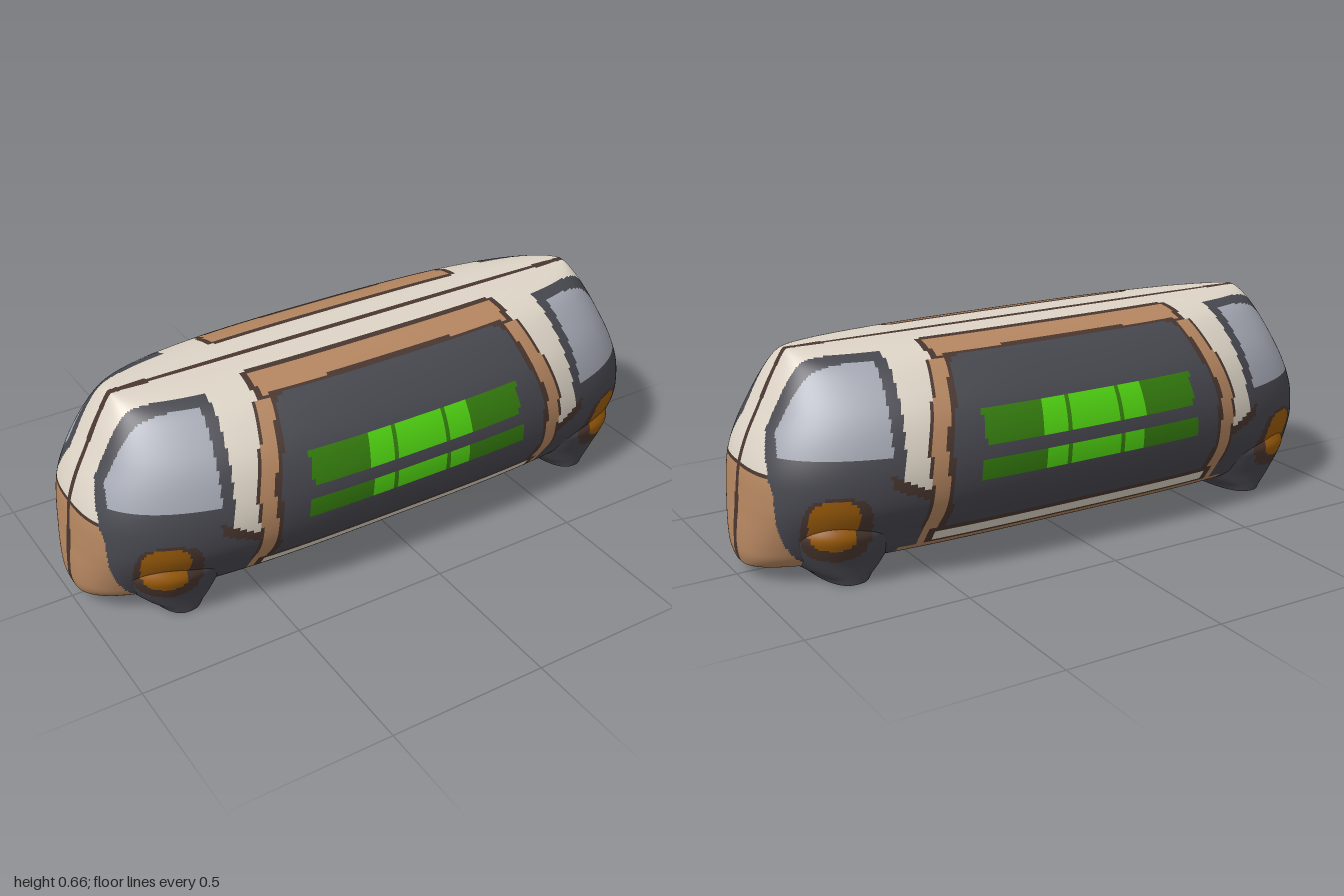
import * as THREE from 'three';

// The shell is open under the feet, so both sides show
const mat = (name, color) => {
  const m = new THREE.MeshStandardMaterial({ color, side: THREE.DoubleSide });
  m.name = name;
  return m;
};
const cream = mat('cream', 0xddd4c6), charcoal = mat('charcoal', 0x47474f), glass = mat('glass grey', 0xa2a6b1);
const tan = mat('tan', 0xb58660), brown = mat('dark brown', 0x49362f), amber = mat('amber', 0x9c5c0a);
const lime = mat('lime', 0x52d812), green = mat('green', 0x36800f);

// Part name -> material
const PARTS = {
  roofAndPillars: cream, lowerTrimStrip: cream, lowerShell: charcoal, sidePanel: charcoal,
  cornerWindows: glass, bumpers: tan, panelSurround: tan, underside: tan, roofPanels: tan,
  seams: brown, lampSurrounds: brown, lamps: amber, litCells: lime, displayPanels: green,
};
const FOOT_X = 0.73;

const inEllipse = (x, y, cx, cy, rx, ry, p) =>
  Math.abs((x - cx) / rx) ** p + Math.abs((y - cy) / ry) ** p < 1;

// Rows of display cells on the middle of each side
function displayPart(ax, y) {
  const upper = y > 0.395 && y < 0.5 && ax < 0.37;
  const lower = y > 0.29 && y < 0.357 && ax < 0.385;
  if (!upper && !lower) return null;
  if (ax > 0.182) return 'displayPanels';
  const cell = ax % 0.091;
  return cell < 0.006 || cell > 0.087 ? 'displayPanels' : 'litCells';
}

// Middle bay: side panel, its tan surround and the roof panels
function middlePart(ax, y, az, inner, outer) {
  if (y < 0.085) return az < 0.01 ? 'seams' : 'underside';
  if (y < 0.145) {
    if (ax > 0.52) return 'panelSurround';
    return ax < 0.5 && y > 0.096 && y < 0.13 ? 'lowerTrimStrip' : 'seams';
  }
  if (y > 0.6 && az < 0.215) {
    if (az < 0.095) return az < 0.013 ? 'seams' : 'roofAndPillars';
    if (ax > 0.455) return 'roofAndPillars';
    return az > 0.115 && az < 0.203 && ax < 0.435 ? 'roofPanels' : 'seams';
  }
  if (ax > outer - 0.009) return 'seams';
  if (ax > inner) return 'panelSurround';
  if (ax > inner - 0.018) return 'seams';
  return displayPart(ax, y) || 'sidePanel';
}

// End bays: windows, lamps, bumpers and pillars
function endPart(ax, y, az) {
  if (ax > 0.86 && y < 0.35 && az < 0.19) {
    if (y > 0.335) return az < 0.155 ? 'seams' : 'lowerShell';
    if (inEllipse(az, y, 0, 0.18, 0.185, 0.17, 5)) return az < 0.013 ? 'seams' : 'bumpers';
    return y < 0.06 && az < 0.14 ? 'bumpers' : 'lowerShell';
  }
  if (inEllipse(ax, y, 0.805, 0.205, 0.066, 0.077, 3)) return 'lamps';
  if (inEllipse(ax, y, 0.795, 0.19, 0.093, 0.1, 3)) return 'lampSurrounds';
  const frameX = 0.585 + 0.12 * (0.62 - y);
  const frameZ = 0.09 + 0.2 * Math.max(0, 0.8 - ax) + 0.6 * Math.max(0, 0.46 - y);
  if (y > 0.34 && (ax < frameX || az < frameZ)) return az < 0.011 ? 'seams' : 'roofAndPillars';
  if (y > 0.4 && ax > frameX + 0.035 && az > frameZ + 0.042) return 'cornerWindows';
  // Brown dart closing the foot of each cream pillar
  const dart = 0.265 + 0.5 * (ax - 0.53);
  if (ax < 0.655 && Math.abs(y - dart) < 0.018) return 'seams';
  return ax < frameX && y > dart ? 'roofAndPillars' : 'lowerShell';
}

function bodyPart(x, y, z) {
  const ax = Math.abs(x), az = Math.abs(z);
  // Openings above the hollow feet
  if (y < 0.06 && inEllipse(ax, az, FOOT_X, 0, 0.125, 0.25, 2.5)) return null;
  const inner = y > 0.42 ? 0.49 - 0.35 * (y - 0.42) : 0.49;
  const outer = y < 0.085 ? 0.6 : inner + 0.056;
  return ax < outer ? middlePart(ax, y, az, inner, outer) : endPart(ax, y, az);
}

// Feet carry the lower part of the lamp paint
function footPart(x, y, z) {
  const part = endPart(Math.abs(x), y, Math.abs(z));
  return part.startsWith('lamp') ? part : 'lowerShell';
}

// Loft of rings, divided into one mesh per painted part
function paintedLoft(name, rows, segments, ringPoint, partAt) {
  const pos = [], buckets = {}, all = [];
  for (const row of rows)
    for (let j = 0; j < segments; j++) pos.push(...ringPoint(row, (j / segments) * Math.PI * 2));
  for (let i = 0; i < rows.length - 1; i++)
    for (let j = 0; j < segments; j++) {
      const a = i * segments + j, b = i * segments + (j + 1) % segments;
      const c = a + segments, d = b + segments;
      const centre = [0, 1, 2].map(k => (pos[a * 3 + k] + pos[b * 3 + k] + pos[c * 3 + k] + pos[d * 3 + k]) / 4);
      const part = partAt(...centre);
      all.push(a, c, b, b, c, d);
      if (part) (buckets[part] ??= []).push(a, c, b, b, c, d);
    }
  const whole = new THREE.BufferGeometry();
  whole.setAttribute('position', new THREE.Float32BufferAttribute(pos, 3));
  whole.setIndex(all);
  whole.computeVertexNormals();
  const group = new THREE.Group();
  group.name = name;
  for (const [part, ids] of Object.entries(buckets)) {
    const geo = new THREE.BufferGeometry();
    geo.setAttribute('position', whole.attributes.position);
    geo.setAttribute('normal', whole.attributes.normal);
    geo.setIndex(ids);
    const mesh = new THREE.Mesh(geo, PARTS[part]);
    mesh.name = part;
    group.add(mesh);
  }
  return group;
}

const smoothRows = (rows, n) =>
  new THREE.CatmullRomCurve3(rows.map(r => new THREE.Vector3(...r))).getSpacedPoints(n);

// Point on the rounded plan of the body; rings are denser near the blunt ends
function bodyPoint(r, a) {
  const fold = a % Math.PI;
  const t = Math.min(fold, Math.PI - fold) / (Math.PI / 2);
  const along = Math.cos((Math.PI / 2) * t ** 1.35);
  const power = 2.8 + 0.6 * THREE.MathUtils.smoothstep(0.45 - r.y, 0, 0.25);
  const depth = Math.max(0, 1 - along ** power) ** (1 / 2.8);
  return [Math.sign(Math.cos(a)) * r.x * along, r.y, Math.sign(Math.sin(a)) * r.z * depth];
}

export function createModel() {
  const model = new THREE.Group();
  model.name = 'roundedVan';

  // Body rows: half length, height, half width
  const bodyRows = smoothRows([
    [0.98, 0.04, 0], [0.985, 0.04, 0.12], [0.99, 0.046, 0.2], [0.998, 0.08, 0.262], [0.998, 0.12, 0.295],
    [0.995, 0.16, 0.325], [0.99, 0.2, 0.355], [0.985, 0.25, 0.38], [0.973, 0.34, 0.395],
    [0.945, 0.42, 0.387], [0.905, 0.5, 0.355], [0.87, 0.57, 0.297], [0.842, 0.62, 0.235],
    [0.827, 0.645, 0.17], [0.818, 0.657, 0.1], [0.812, 0.66, 0],
  ], 110);
  model.add(paintedLoft('body', bodyRows, 560, bodyPoint, bodyPart));

  // Feet: one hollow flared skid under each end
  const footRows = smoothRows([
    [0.085, 0, 0.254], [0.1, 0.015, 0.256], [0.132, 0.038, 0.26],
    [0.16, 0.07, 0.268], [0.185, 0.12, 0.287], [0.195, 0.16, 0.298], [0.18, 0.2, 0.285],
  ], 40);
  const soft = v => Math.sign(v) * Math.abs(v) ** 0.8;
  for (const side of [1, -1])
    model.add(paintedLoft(side > 0 ? 'leftFoot' : 'rightFoot', footRows, 120, (r, a) =>
      [side * FOOT_X + r.x * soft(Math.cos(a)), r.y, r.z * soft(Math.sin(a))], footPart));

  return model;
}
